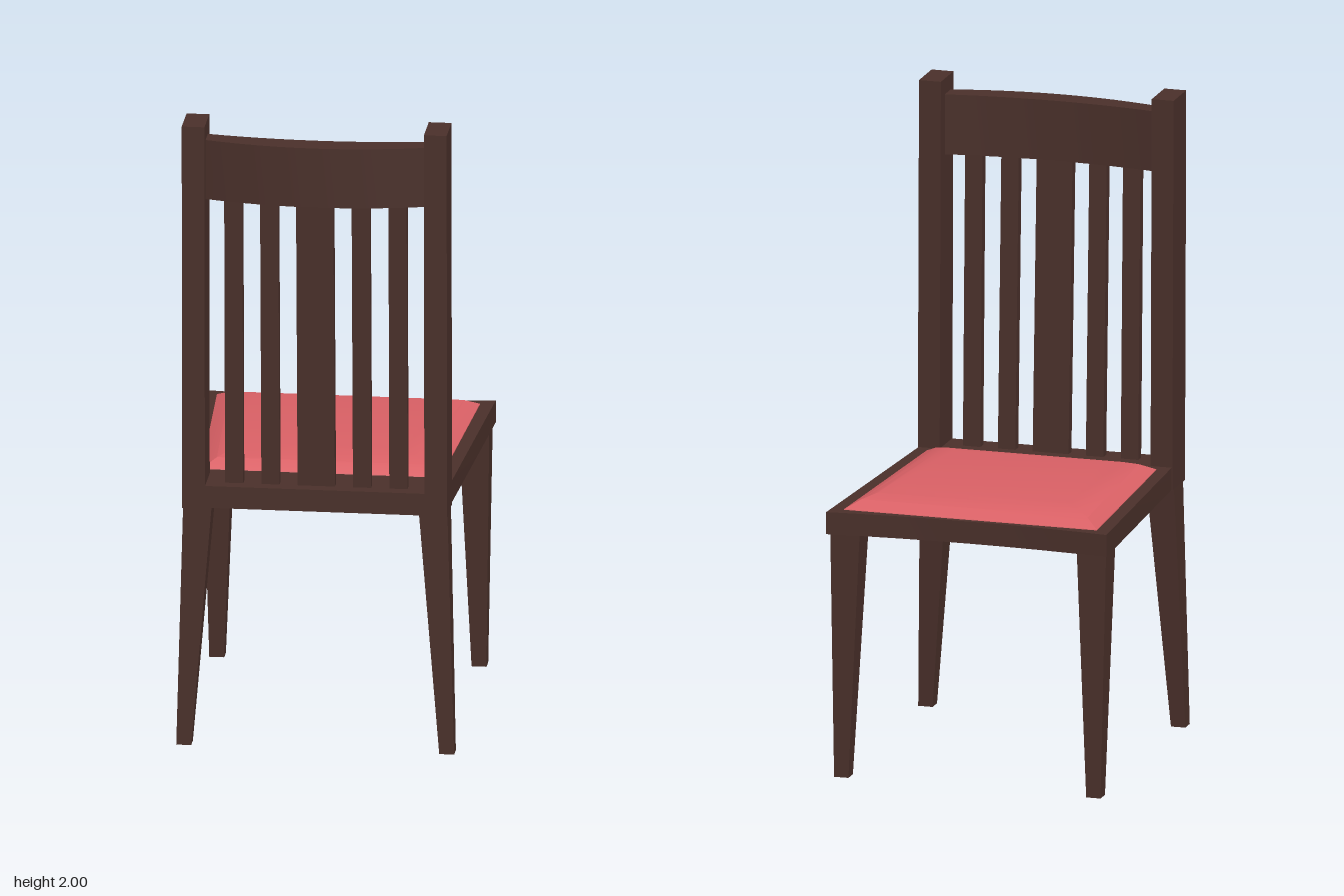
import * as THREE from 'three';
import { toCreasedNormals } from 'three/addons/utils/BufferGeometryUtils.js';

const wood = new THREE.MeshStandardMaterial({ color: 0x4a302a });
const fabric = new THREE.MeshStandardMaterial({ color: 0xd96065 });

// Four-sided section at height y: centre (x, z), size w by d
function section(x, y, z, w, d) {
  return [[-1, -1], [1, -1], [1, 1], [-1, 1]].map(([i, j]) => [x + i * w / 2, y, z + j * d / 2]);
}

// Capped solid through four-sided sections, bottom to top
function loft(rings) {
  const pos = [];
  const tri = (...pts) => pts.forEach((p) => pos.push(...p));
  for (let r = 0; r < rings.length - 1; r++) {
    for (let i = 0; i < 4; i++) {
      const j = (i + 1) % 4;
      const a = rings[r][i], b = rings[r][j], c = rings[r + 1][j], d = rings[r + 1][i];
      tri(a, d, c);
      tri(a, c, b);
    }
  }
  const lo = rings[0], hi = rings[rings.length - 1];
  tri(lo[0], lo[1], lo[2]);
  tri(lo[0], lo[2], lo[3]);
  tri(hi[0], hi[2], hi[1]);
  tri(hi[0], hi[3], hi[2]);
  const g = new THREE.BufferGeometry();
  g.setAttribute('position', new THREE.Float32BufferAttribute(pos, 3));
  return toCreasedNormals(g, 0.5);
}

// Flat slab from a plan outline of [x, z] points
function slab(points, y0, y1) {
  const shape = new THREE.Shape(points.map(([x, z]) => new THREE.Vector2(x, z)));
  const g = new THREE.ExtrudeGeometry(shape, { depth: y1 - y0, bevelEnabled: false });
  g.rotateX(Math.PI / 2).translate(0, y1, 0);
  return toCreasedNormals(g, 0.5);
}

export function createModel() {
  const model = new THREE.Group();
  model.name = 'chair';

  // Chair built facing its own -z, front edge at z = 0, then turned
  const chair = new THREE.Group();
  chair.name = 'chairBody';
  chair.rotation.y = 0.631;
  chair.position.set(-0.2625, 0, -0.37);
  model.add(chair);

  const add = (name, geometry, material = wood) => {
    const mesh = new THREE.Mesh(geometry, material);
    mesh.name = name;
    chair.add(mesh);
  };

  // Seat frame, tapering to the back, with a slightly hollow front edge
  const outline = [];
  for (let i = 0; i <= 8; i++) {
    const t = i / 4 - 1;
    outline.push([t * 0.449, 0.024 * (1 - t * t)]);
  }
  outline.push([0.405, 0.82], [0.405, 0.935], [-0.405, 0.935], [-0.405, 0.82]);
  add('seatFrame', slab(outline, 0.77, 0.84));

  // Domed cushion
  const cushionRing = (inset, y) => {
    const f = 0.407 - inset, b = 0.37 - inset, z0 = 0.04 + inset, z1 = 0.773 - inset;
    return [[-f, y, z0], [f, y, z0], [b, y, z1], [-b, y, z1]];
  };
  add('cushion', loft([
    cushionRing(0, 0.835), cushionRing(0.002, 0.842), cushionRing(0.045, 0.866),
    cushionRing(0.085, 0.88), cushionRing(0.13, 0.887),
  ]), fabric);

  // Tapered legs and back posts, mirrored
  for (const s of [-1, 1]) {
    const side = s > 0 ? 'Right' : 'Left';
    add('frontLeg' + side, loft([
      section(s * 0.404, 0, 0.033, 0.046, 0.046), section(s * 0.395, 0.775, 0.066, 0.094, 0.094),
    ]));
    add('backLeg' + side, loft([
      section(s * 0.405, 0, 0.9, 0.046, 0.046), section(s * 0.363, 0.775, 0.874, 0.088, 0.094),
    ]));
    add('backPost' + side, loft([
      section(s * 0.373, 0.768, 0.873, 0.07, 0.13), section(s * 0.373, 2, 0.886, 0.07, 0.13),
    ]));
  }

  // Curved crest rail
  const crest = [];
  for (let i = 0; i <= 12; i++) {
    const x = -0.345 + 0.69 * i / 12;
    crest.push([x, 0.89 - 0.25 * x * x]);
  }
  for (let i = 12; i >= 0; i--) {
    const x = -0.345 + 0.69 * i / 12;
    crest.push([x, 0.968 - 0.4 * x * x]);
  }
  add('crestRail', slab(crest, 1.76, 1.95));

  // Leaning slats, wide one in the middle
  for (const [x, w] of [[-0.253, 0.056], [-0.141, 0.056], [0, 0.115], [0.141, 0.056], [0.253, 0.056]]) {
    add('backSlat', loft([
      section(x, 0.835, 0.88, w, 0.03), section(x, 1.78, 0.922 - 0.3 * x * x, w, 0.03),
    ]));
  }

  return model;
}
